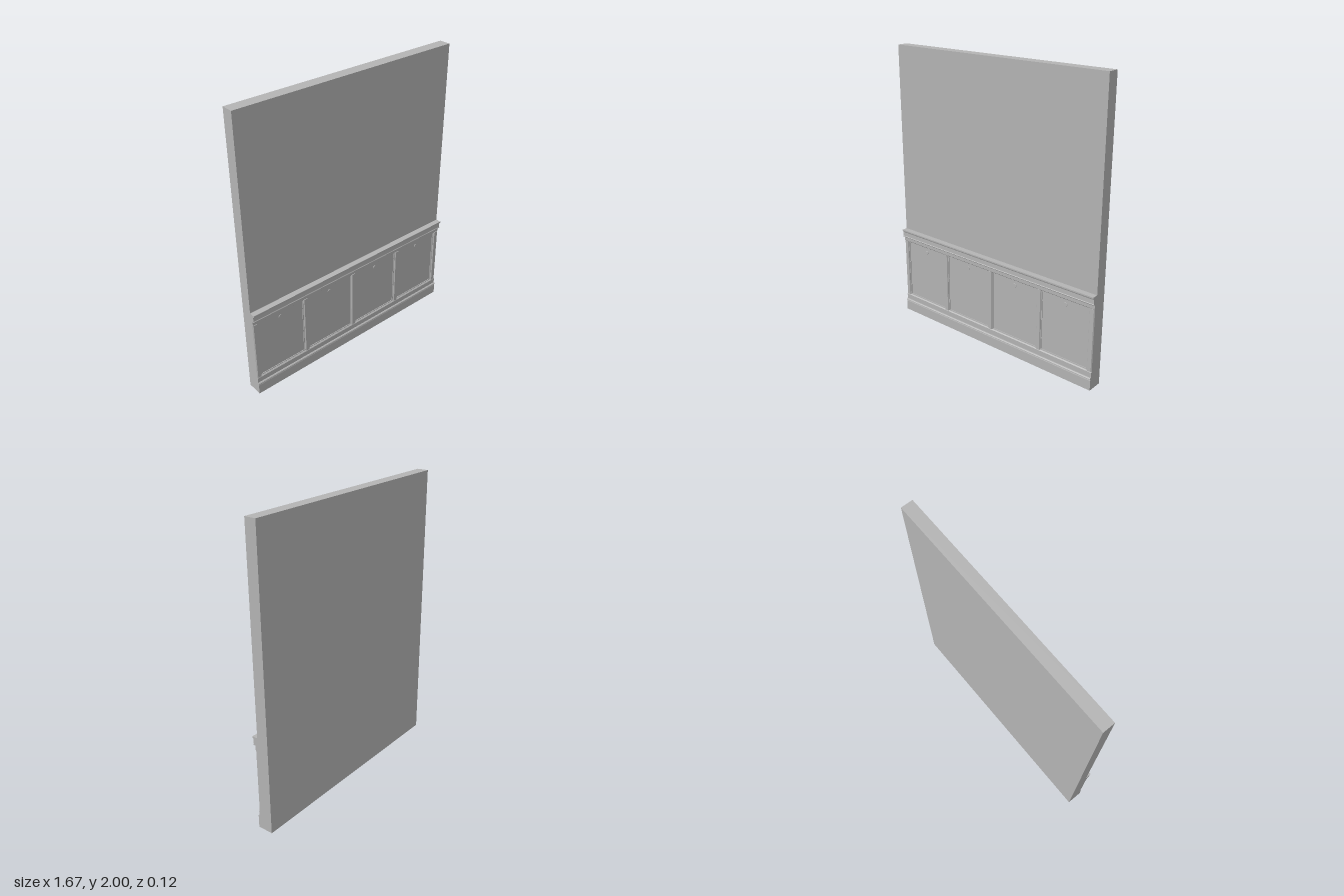
import * as THREE from 'three';

const W = 1.67;      // wall width
const FACE = 0.02;   // z of the plaster face

export function createModel() {
  const group = new THREE.Group();
  group.name = 'panelledWall';
  const grey = new THREE.MeshStandardMaterial({ color: 0xb4b4b4 });
  grey.name = 'plain grey';

  const add = (name, geometry, x = 0, y = 0, z = 0) => {
    const mesh = new THREE.Mesh(geometry, grey);
    mesh.name = name;
    mesh.position.set(x, y, z);
    group.add(mesh);
  };

  // Horizontal moulding: a (z, y) profile swept across the full width
  const moulding = (name, points) => {
    const shape = new THREE.Shape(points.map(([z, y]) => new THREE.Vector2(z, y)));
    const geometry = new THREE.ExtrudeGeometry(shape, { depth: W, bevelEnabled: false });
    geometry.rotateY(-Math.PI / 2).translate(W / 2, 0, 0);
    add(name, geometry);
  };

  // Upright moulding: an (x, z) profile with softened front edges
  const stile = (name, x0, x1, y0, y1) => {
    const shape = new THREE.Shape([
      [x0, FACE], [x1, FACE], [x1, 0.034], [x1 - 0.005, 0.04], [x0 + 0.005, 0.04], [x0, 0.034],
    ].map(([x, z]) => new THREE.Vector2(x, -z)));
    const geometry = new THREE.ExtrudeGeometry(shape, { depth: y1 - y0, bevelEnabled: false });
    geometry.rotateX(-Math.PI / 2).translate(0, y0, 0);
    add(name, geometry);
  };

  // Wall slab
  add('wall', new THREE.BoxGeometry(W, 2, 0.08), 0, 1, -0.02);

  // Skirting board with a stepped, rounded top
  moulding('skirting', [
    [FACE, 0], [0.047, 0], [0.047, 0.07], [0.045, 0.076], [0.051, 0.08],
    [0.051, 0.085], [0.046, 0.09], [FACE, 0.09],
  ]);

  // Rails above and below the panels, bevelled toward them
  moulding('bottomRail', [[FACE, 0.088], [0.04, 0.088], [0.04, 0.126], [0.034, 0.132], [FACE, 0.132]]);
  moulding('topRail', [[FACE, 0.566], [0.034, 0.566], [0.04, 0.572], [0.04, 0.605], [FACE, 0.605]]);

  // Dado rail with a projecting lip
  moulding('dadoRail', [
    [FACE, 0.602], [0.052, 0.602], [0.055, 0.607], [0.052, 0.612], [0.051, 0.64],
    [0.055, 0.648], [0.06, 0.651], [0.06, 0.66], [FACE, 0.66],
  ]);

  // Stiles
  const stiles = [[-0.835, -0.8], [-0.435, -0.4], [-0.02, 0.015], [0.395, 0.43], [0.797, 0.835]];
  stiles.forEach(([x0, x1]) => stile('stile', x0, x1, 0.13, 0.568));

  // Recessed panels, each with a thin border bead and a small button
  for (let i = 0; i < 4; i++) {
    const x0 = stiles[i][1], x1 = stiles[i + 1][0];
    const w = x1 - x0, cx = (x0 + x1) / 2, cy = 0.349, h = 0.434;
    add('panel', new THREE.BoxGeometry(w, h, 0.006), cx, cy, FACE + 0.003);
    for (const s of [-1, 1]) {
      add('sideBead', new THREE.BoxGeometry(0.006, h, 0.01), cx + s * (w / 2 - 0.003), cy, 0.026);
      add('crossBead', new THREE.BoxGeometry(w, 0.006, 0.01), cx, cy + s * (h / 2 - 0.003), 0.026);
    }
    add('button', new THREE.CylinderGeometry(0.012, 0.014, 0.004, 16).rotateX(Math.PI / 2), cx, 0.525, 0.027);
  }
  return group;
}
